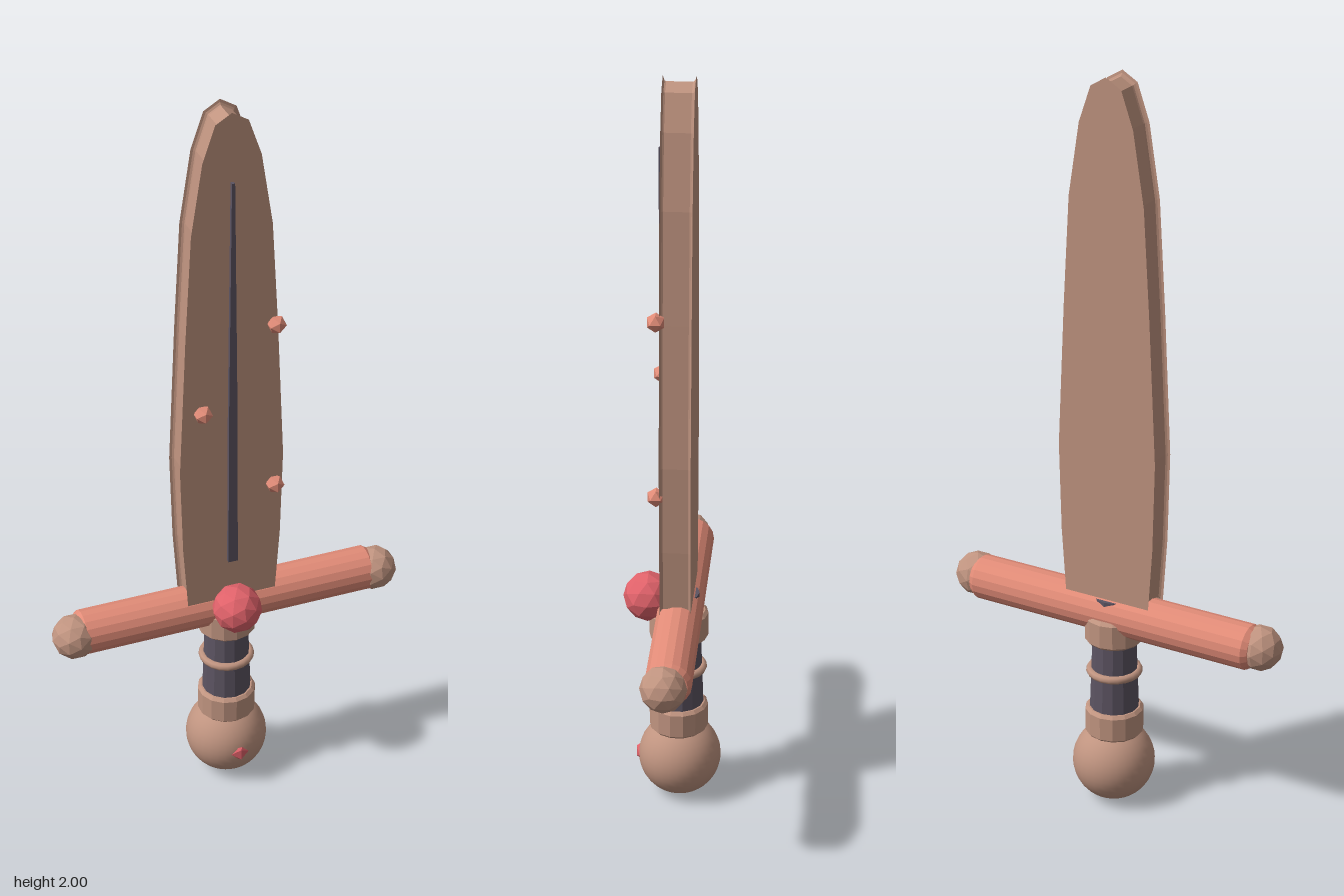
import * as THREE from 'three';

const mat = (color, flatShading = true) => new THREE.MeshStandardMaterial({ color, flatShading });
const bronze = mat(0xc09480), bronzeSmooth = mat(0xc09480, false);
const copper = mat(0xe28c78), dark = mat(0x5c5462), red = mat(0xe0626a);
const AXIS_Z = -0.015;

export function createModel() {
  const model = new THREE.Group();
  const add = (name, geometry, material, x = 0, y = 0, z = AXIS_Z) => {
    const mesh = new THREE.Mesh(geometry, material);
    mesh.name = name;
    mesh.position.set(x, y, z);
    model.add(mesh);
    return mesh;
  };
  const lathe = (pts, sides) =>
    new THREE.LatheGeometry(pts.map(p => new THREE.Vector2(...p)), sides);
  // Short band with chamfered rims
  const band = (r, y0, y1, c) => lathe(
    [[0, y0], [r - c, y0], [r, y0 + c], [r, y1 - c], [r - c, y1], [0, y1]], 14);

  // Blade: full outline on both faces, edge slightly recessed between them
  const half = [[0.122, 0.6], [0.134, 0.78], [0.14, 1.02], [0.122, 1.4],
    [0.105, 1.69], [0.075, 1.88], [0.042, 1.975]];
  const outline = [...half, [0, 2], ...half.map(([x, y]) => [-x, y]).reverse()];
  const bladeShape = new THREE.Shape(outline.map(p => new THREE.Vector2(...p)));
  add('blade', new THREE.ExtrudeGeometry(bladeShape, {
    depth: 0.064, bevelEnabled: true, bevelThickness: 0.008,
    bevelSize: -0.013, bevelSegments: 3,
  }), bronze, 0, 0, -0.047);

  // Tapered ridge on the front of the blade
  const ridge = new THREE.Shape([[-0.013, 0.72], [0.013, 0.72], [0.011, 1.2], [0.004, 1.82],
    [-0.004, 1.82], [-0.011, 1.2]].map(p => new THREE.Vector2(...p)));
  add('bladeRidge', new THREE.ExtrudeGeometry(ridge, { depth: 0.015, bevelEnabled: false }),
    dark, 0, 0, 0.02);

  // Studs on the blade
  for (const [x, y] of [[0.115, 1.41], [-0.08, 1.19], [0.115, 0.935]])
    add('bladeStud', new THREE.IcosahedronGeometry(0.025, 0), copper, x, y, 0.034);

  // Crossguard with chamfered ends and faceted caps
  const guard = add('crossguard', lathe([[0, -0.415], [0.05, -0.415], [0.06, -0.4],
    [0.06, 0.4], [0.05, 0.415], [0, 0.415]], 18), copper, 0, 0.56, -0.02);
  guard.rotation.z = Math.PI / 2;
  for (const s of [-1, 1])
    add('guardCap', new THREE.IcosahedronGeometry(0.06, 1), bronze, s * 0.424, 0.56, -0.01);
  add('guardGem', new THREE.IcosahedronGeometry(0.066, 1), red, 0, 0.59, 0.065);

  // Grip with collars and a ring
  add('grip', new THREE.CylinderGeometry(0.054, 0.068, 0.39, 14), dark, 0, 0.41);
  add('upperCollar', band(0.078, 0.475, 0.555, 0.008), bronze);
  add('lowerCollar', band(0.078, 0.2, 0.28, 0.008), bronze);
  const ring = add('gripRing', new THREE.TorusGeometry(0.064, 0.011, 8, 20), bronzeSmooth, 0, 0.385);
  ring.rotation.x = Math.PI / 2;

  // Pommel and its half-buried gem
  add('pommel', new THREE.SphereGeometry(0.11, 32, 20), bronzeSmooth, 0, 0.115, -0.018);
  add('pommelGem', new THREE.IcosahedronGeometry(0.03, 0), red, 0, 0.115, 0.073);

  return model;
}
